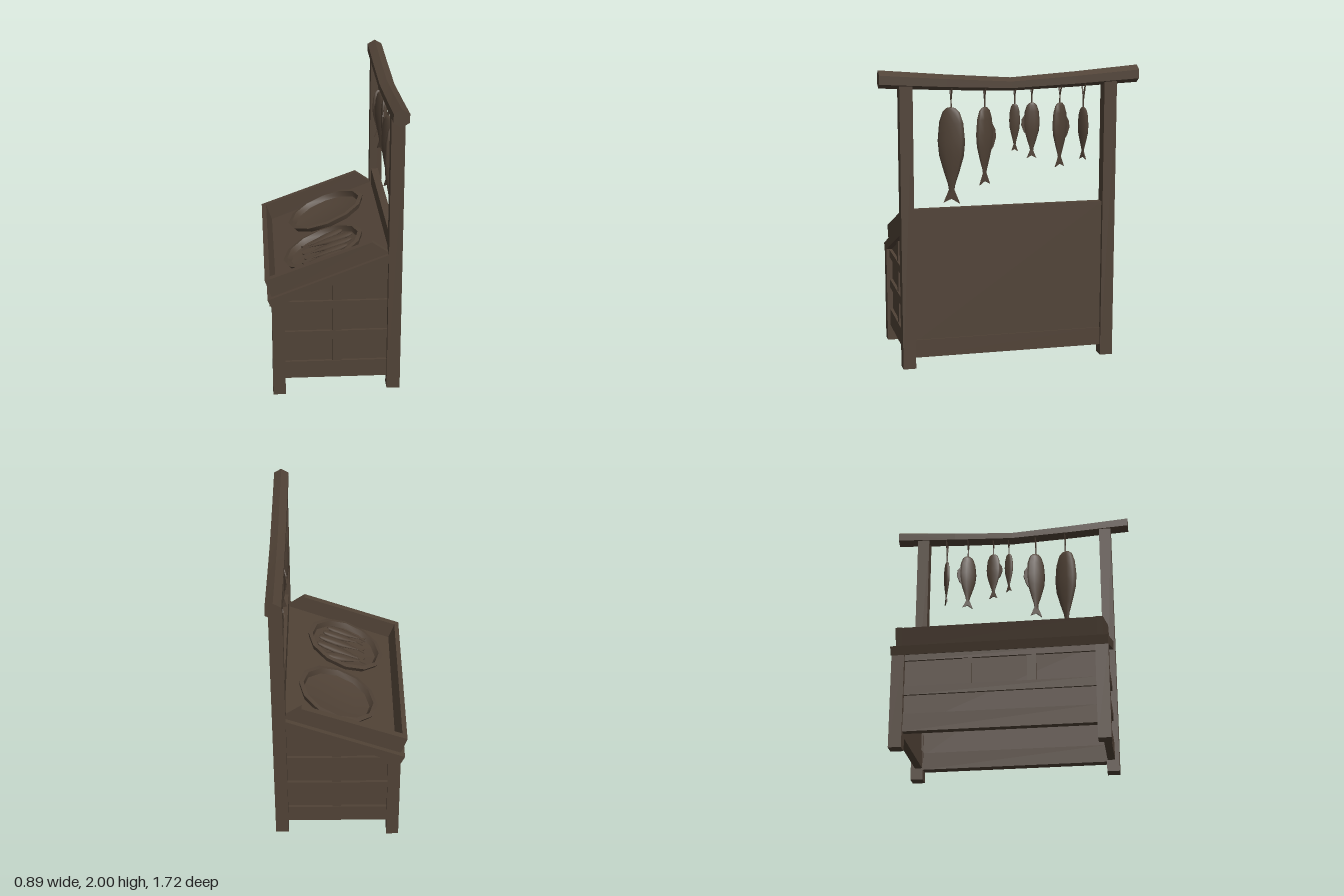
import * as THREE from 'three';
import { toCreasedNormals } from 'three/addons/utils/BufferGeometryUtils.js';

const wood = new THREE.MeshStandardMaterial({ color: 0x504236, side: THREE.DoubleSide });
wood.name = 'dark brown';

const MID = 0.01; // centre of the stall body along z
const SLOPE = 0.385;
const TILT = Math.atan(SLOPE);
const under = (x) => 0.635 + (x + 0.41) * SLOPE; // underside of the counter
const surface = (x) => under(x) + 0.062;

function add(parent, name, geometry) {
  const mesh = new THREE.Mesh(geometry, wood);
  mesh.name = name;
  parent.add(mesh);
  return mesh;
}

// Box given by its limits on each axis
function box(parent, name, x0, x1, y0, y1, z0, z1) {
  const mesh = add(parent, name, new THREE.BoxGeometry(x1 - x0, y1 - y0, z1 - z0));
  mesh.position.set((x0 + x1) / 2, (y0 + y1) / 2, (z0 + z1) / 2);
  return mesh;
}

// Side outline in x and y, extruded from z0 to z1
function slab(parent, name, points, z0, z1) {
  const shape = new THREE.Shape(points.map(([x, y]) => new THREE.Vector2(x, y)));
  const mesh = add(parent, name, new THREE.ExtrudeGeometry(shape, { depth: z1 - z0, bevelEnabled: false }));
  mesh.position.z = z0;
  return mesh;
}

// Thin round bar between two points
function cord(parent, a, b) {
  const curve = new THREE.LineCurve3(new THREE.Vector3(...a), new THREE.Vector3(...b));
  add(parent, 'cord', new THREE.TubeGeometry(curve, 1, 0.005, 5));
}

// Fish with its mouth at the origin and tail down; finSide is -1, 0 or 1
function makeFish(length, width, finSide = 0) {
  const fish = new THREE.Group();
  fish.name = 'fish';
  const profile = [[0.09, -0.88], [0.13, -0.8], [0.29, -0.66], [0.45, -0.5], [0.5, -0.35],
    [0.44, -0.16], [0.31, -0.05], [0.16, -0.01], [0, 0]];
  const body = new THREE.LatheGeometry(profile.map(([r, y]) => new THREE.Vector2(r * width, y * length)), 10);
  body.scale(0.38, 1, 1);
  add(fish, 'fishBody', body);
  const plate = (name, points) => {
    const shape = new THREE.Shape(points.map(([z, y]) => new THREE.Vector2(z * width, y * length)));
    const g = new THREE.ExtrudeGeometry(shape, { depth: 0.008, bevelEnabled: false });
    g.translate(0, 0, -0.004);
    g.rotateY(-Math.PI / 2);
    add(fish, name, g);
  };
  plate('fishTail', [[-0.08, -0.84], [-0.3, -0.99], [0, -0.945], [0.3, -0.99], [0.08, -0.84]]);
  if (finSide) {
    plate('fishFin', [[0.4, -0.2], [0.62, -0.3], [0.66, -0.4], [0.5, -0.52], [0.36, -0.56]]
      .map(([z, y]) => [z * finSide, y]));
  }
  return fish;
}

function makeBowl(x, z) {
  const bowl = new THREE.Group();
  bowl.name = 'bowl';
  const profile = [[0.2, 0], [0.265, 0.02], [0.283, 0.055], [0.252, 0.06], [0.238, 0.022], [0.15, 0.01], [0, 0.006]];
  const g = new THREE.LatheGeometry(profile.map(([r, y]) => new THREE.Vector2(r, y)), 12);
  add(bowl, 'dish', toCreasedNormals(g, 0.6));
  bowl.position.set(x + 0.02, surface(x + 0.02), z);
  bowl.rotation.z = TILT;
  return bowl;
}

export function createModel() {
  const model = new THREE.Group();
  model.name = 'fishStall';

  // Posts, legs and framed ends
  for (const s of [-1, 1]) {
    const span = (a, b) => [MID + s * a, MID + s * b].sort((p, q) => p - q);
    box(model, 'tallPost', 0.345, 0.432, 0.03, 1.9, ...span(0.635, 0.72));
    slab(model, 'frontLeg', [[-0.408, 0], [-0.325, 0], [-0.325, under(-0.325)], [-0.408, under(-0.408)]], ...span(0.625, 0.71));
    slab(model, 'endPanel', [[-0.33, 0.12], [0.35, 0.12], [0.35, under(0.35)], [-0.33, under(-0.33)]], ...span(0.65, 0.67));
    for (const [y0, y1] of [[0.11, 0.23], [0.39, 0.45], [0.61, 0.665]]) {
      box(model, 'endRail', -0.328, 0.348, y0, y1, ...span(0.64, 0.69));
    }
    slab(model, 'endStile', [[-0.015, 0.22], [0.045, 0.22], [0.045, under(0.045)], [-0.015, under(-0.015)]], ...span(0.64, 0.685));
    // Raised side of the tray with a cut rear end
    slab(model, 'traySide', [[-0.45, 0.815], [0.24, 1.067], [0.345, 0.995], [0.345, 0.97], [-0.405, 0.69]], ...span(0.637, 0.682));
  }

  // Customer side of the body
  box(model, 'frontPanel', -0.375, -0.355, 0.12, 0.65, MID - 0.63, MID + 0.63);
  for (const [y0, y1] of [[0.11, 0.23], [0.36, 0.42], [0.6, 0.65]]) {
    box(model, 'frontRail', -0.39, -0.34, y0, y1, MID - 0.63, MID + 0.63);
  }
  for (const z of [-0.2, 0.22]) box(model, 'frontStile', -0.386, -0.345, 0.42, 0.61, z - 0.03, z + 0.03);
  box(model, 'innerBeam', -0.015, 0.045, 0.39, 0.45, MID - 0.64, MID + 0.64);

  // Back board and its lower plank
  box(model, 'backBoard', 0.355, 0.405, 0.2, 1.095, MID - 0.64, MID + 0.64);
  box(model, 'backPlank', 0.35, 0.415, 0.1, 0.22, MID - 0.64, MID + 0.64);

  // Sloping counter with front lip
  slab(model, 'counter', [[-0.41, 0.635], [0.352, under(0.352)], [0.352, surface(0.352)], [-0.435, 0.69]], MID - 0.715, MID + 0.71);
  slab(model, 'trayLip', [[-0.45, 0.812], [-0.418, 0.824], [-0.372, 0.7], [-0.405, 0.69]], MID - 0.64, MID + 0.64);

  // Bowls, one holding fish: [head x, head z, tail x, tail z, width]
  model.add(makeBowl(0, -0.3));
  const fullBowl = makeBowl(-0.055, 0.31);
  model.add(fullBowl);
  const catches = [[0.08, 0.13, -0.2, 0.185, 0.085], [0.14, 0.25, -0.2, 0.2, 0.085], [0.13, 0.33, -0.2, 0.31, 0.08],
    [0.1, 0.4, -0.19, 0.4, 0.075], [0.07, 0.475, -0.21, 0.455, 0.075]];
  for (const [hx, hz, tx, tz, width] of catches) {
    const dx = (hx - tx) / Math.cos(TILT), dz = hz - tz;
    const fish = makeFish(Math.hypot(dx, dz), width);
    fish.rotation.set(0, -Math.atan2(dz, dx), -Math.PI / 2, 'YXZ');
    fish.position.set((hx + 0.055) / Math.cos(TILT), 0.036, hz - 0.31);
    fullBowl.add(fish);
  }

  // Six-sided beam, sagging and thinner in the middle
  const beam = new THREE.CylinderGeometry(0.0575, 0.0575, 1.715, 6, 4);
  beam.rotateX(Math.PI / 2);
  const p = beam.attributes.position;
  for (let i = 0; i < p.count; i++) {
    const t = Math.abs(p.getZ(i)) / 0.8575;
    p.setY(i, p.getY(i) * (0.75 + 0.25 * t) + 1.893 + 0.05 * Math.pow(t, 1.2));
  }
  add(model, 'beam', toCreasedNormals(beam, 0.5)).position.x = 0.392;

  // Hanging fish: [z, mouth y, tail y, width, turn, fin side]
  const hanging = [[0.39, 1.755, 1.12, 0.185, -0.49, 0], [0.17, 1.75, 1.235, 0.145, 0.49, -1], [-0.03, 1.765, 1.45, 0.072, -0.4, 0],
    [-0.145, 1.77, 1.4, 0.105, -0.15, 1], [-0.335, 1.765, 1.335, 0.13, 0.49, -1], [-0.495, 1.73, 1.38, 0.1, -1.15, 0]];
  for (const [z, top, bottom, width, turn, fin] of hanging) {
    const fish = makeFish(top - bottom, width, fin);
    fish.position.set(0.39, top, z);
    fish.rotation.y = turn;
    model.add(fish);
    const fork = top + 0.05;
    cord(model, [0.39, top - 0.01, z], [0.39, fork, z]);
    for (const s of [-1, 1]) cord(model, [0.39, fork, z], [0.39 + s * 0.04, 1.89, z]);
  }
  return model;
}
